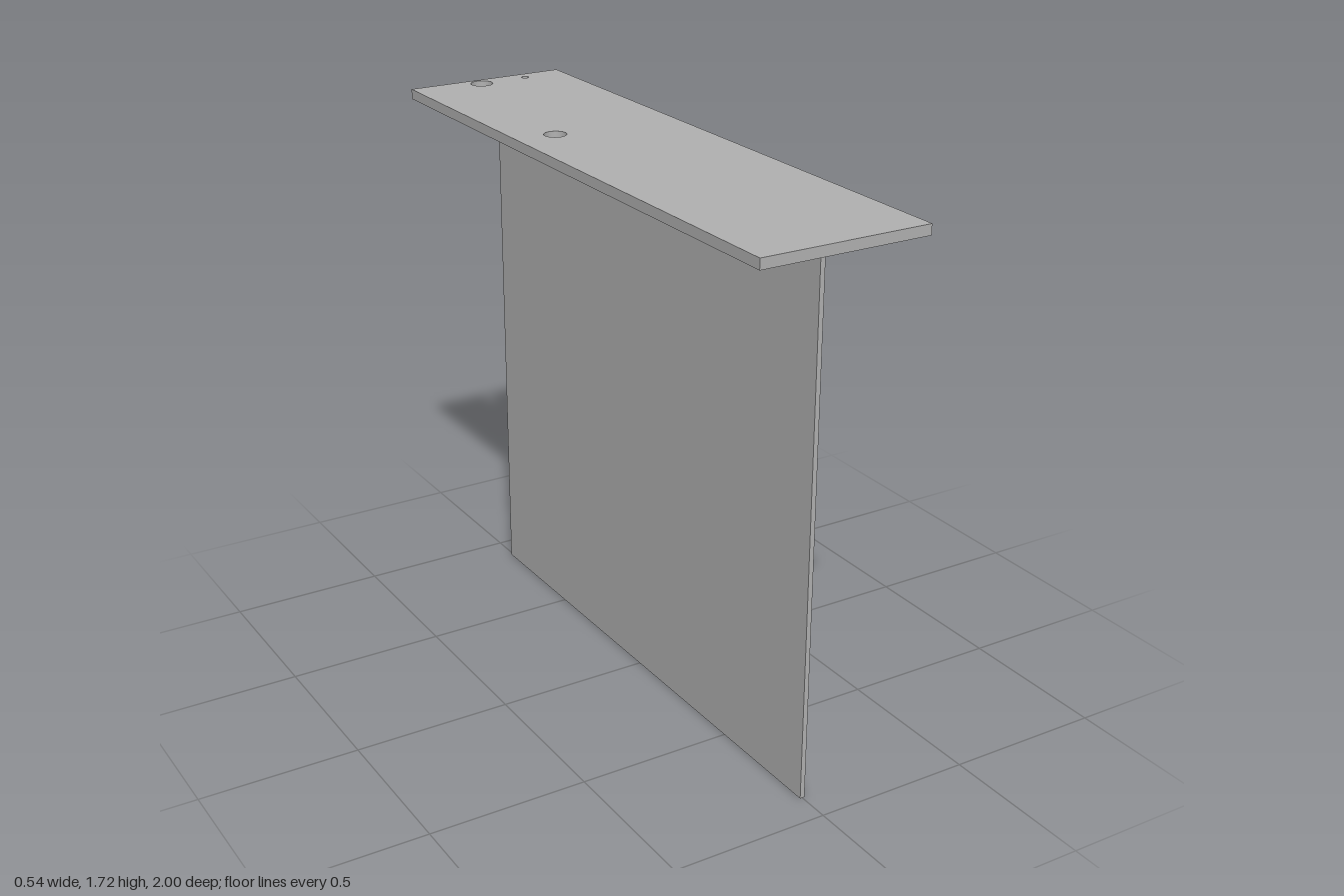
import * as THREE from 'three';

export function createModel() {
  const group = new THREE.Group();
  const grey = new THREE.MeshStandardMaterial({ color: 0xb2b2b2 });
  grey.name = 'plain grey';

  const height = 1.72, plateBottom = 1.688;

  // Top plate, drawn in plan (shape y is -z) with three drilled holes
  const plan = new THREE.Shape();
  const w = 0.268;
  plan.moveTo(-w, -1).lineTo(w, -1).lineTo(w, 1).lineTo(-w, 1).closePath();
  for (const [x, z, r] of [[-0.037, -0.953, 0.036], [-0.138, -0.27, 0.035], [0.126, -0.957, 0.012]]) {
    plan.holes.push(new THREE.Path().absarc(x, -z, r, 0, Math.PI * 2, true));
  }
  const plateGeometry = new THREE.ExtrudeGeometry(plan, {
    depth: height - plateBottom, bevelEnabled: false, curveSegments: 24,
  });
  plateGeometry.rotateX(-Math.PI / 2).translate(0, plateBottom, 0);
  const plate = new THREE.Mesh(plateGeometry, grey);
  plate.name = 'topPlate';

  // Folded sheet: tall web with a narrow flange under the plate
  const t = 0.0075, flangeBottom = 1.673, flangeEdge = 0.13;
  const fold = new THREE.Shape();
  fold.moveTo(-t, 0).lineTo(t, 0).lineTo(t, flangeBottom)
    .lineTo(flangeEdge, flangeBottom).lineTo(flangeEdge, plateBottom)
    .lineTo(-t, plateBottom).closePath();
  const sheetGeometry = new THREE.ExtrudeGeometry(fold, { depth: 1.796, bevelEnabled: false });
  sheetGeometry.translate(0, 0, -0.898);
  const sheet = new THREE.Mesh(sheetGeometry, grey);
  sheet.name = 'foldedSheet';

  group.add(plate, sheet);
  return group;
}
